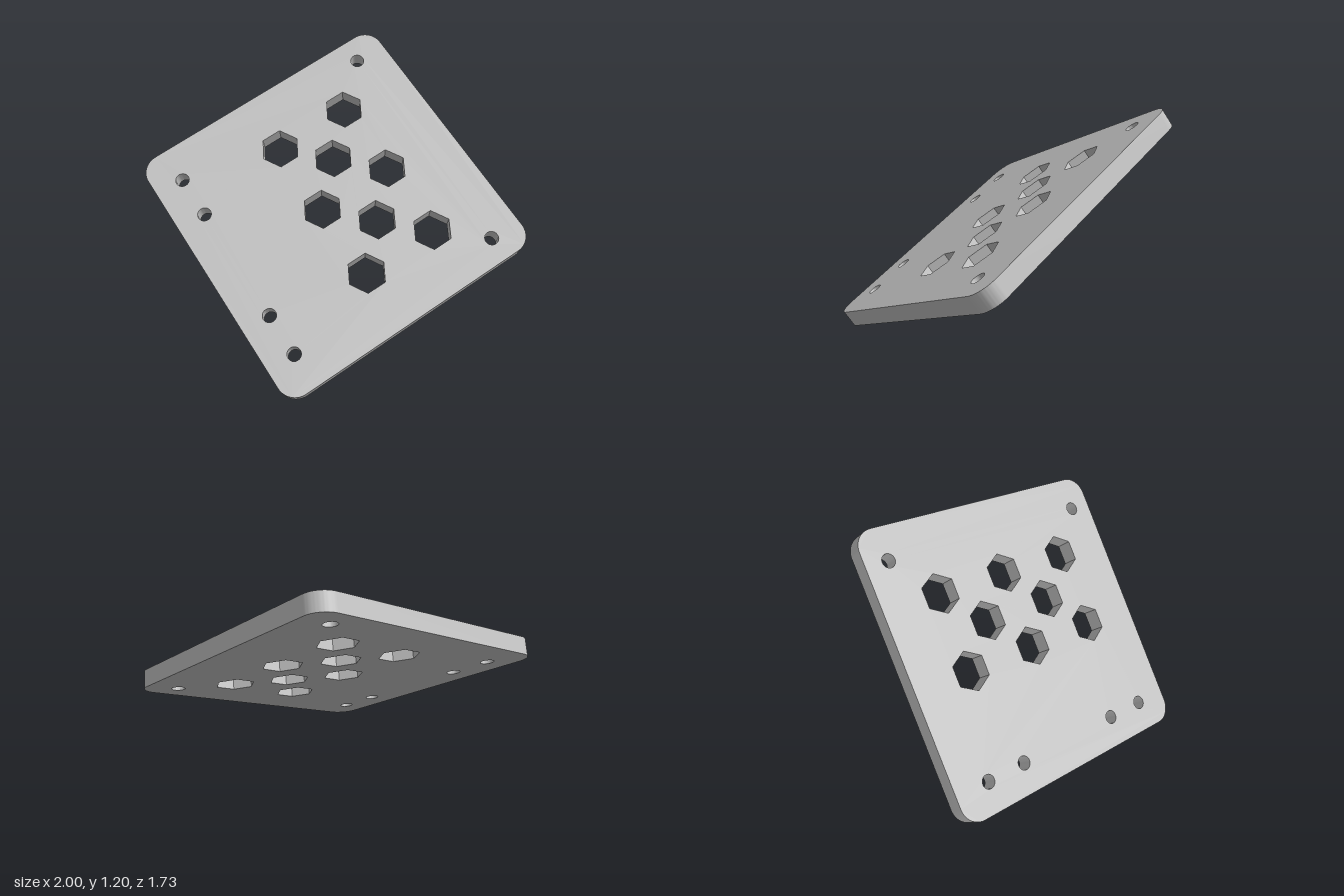
import * as THREE from 'three';
import { toCreasedNormals } from 'three/addons/utils/BufferGeometryUtils.js';

const HALF = 0.745, CORNER = 0.1, THICK = 0.095;
const HEX_R = 0.105, SCREW_R = 0.036;

// Square outline with rounded corners
function roundedSquare(h, r) {
  const s = new THREE.Shape(), c = h - r;
  s.moveTo(-c, -h);
  s.absarc(c, -c, r, -Math.PI / 2, 0);
  s.absarc(c, c, r, 0, Math.PI / 2);
  s.absarc(-c, c, r, Math.PI / 2, Math.PI);
  s.absarc(-c, -c, r, Math.PI, Math.PI * 1.5);
  s.closePath();
  return s;
}

// Regular polygon hole with a corner pointing along y
function polygonHole(x, y, r, sides) {
  const pts = [];
  for (let i = 0; i < sides; i++) {
    const a = Math.PI / 2 - (i / sides) * Math.PI * 2;
    pts.push(new THREE.Vector2(x + r * Math.cos(a), y + r * Math.sin(a)));
  }
  return new THREE.Path(pts);
}

export function createModel() {
  const grey = new THREE.MeshStandardMaterial({ color: 0xc0c0c0 });
  grey.name = 'light grey';

  const outline = roundedSquare(HALF, CORNER);

  // Hexagonal holes: two rows of three, with two between them
  const hexes = [[-0.206, 0.142], [0.206, 0.142]];
  for (const x of [-0.411, 0, 0.411]) hexes.push([x, 0.347], [x, -0.063]);
  for (const [x, y] of hexes) outline.holes.push(polygonHole(x, y, HEX_R, 6));

  // Round screw holes, mirrored
  for (const [x, y] of [[0.616, 0.573], [0.55, -0.59], [0.32, -0.59]]) {
    for (const side of [-1, 1]) outline.holes.push(polygonHole(side * x, y, SCREW_R, 28));
  }

  let geo = new THREE.ExtrudeGeometry(outline, { depth: THICK, bevelEnabled: false, curveSegments: 10 });
  geo.translate(0, 0, -THICK / 2);
  geo = toCreasedNormals(geo, 0.5);

  const plate = new THREE.Mesh(geo, grey);
  plate.name = 'perforatedPlate';

  // Tilt the plate to rest on one corner
  const across = new THREE.Vector3(0.754, -0.458, 0.47).normalize();
  const normal = new THREE.Vector3(0.168, 0.827, 0.537).normalize();
  const up = new THREE.Vector3().crossVectors(normal, across).normalize();
  normal.crossVectors(across, up);
  plate.quaternion.setFromRotationMatrix(new THREE.Matrix4().makeBasis(across, up, normal));
  plate.position.y = 0.6;

  const model = new THREE.Group();
  model.name = 'tiltedPlate';
  model.add(plate);
  return model;
}
